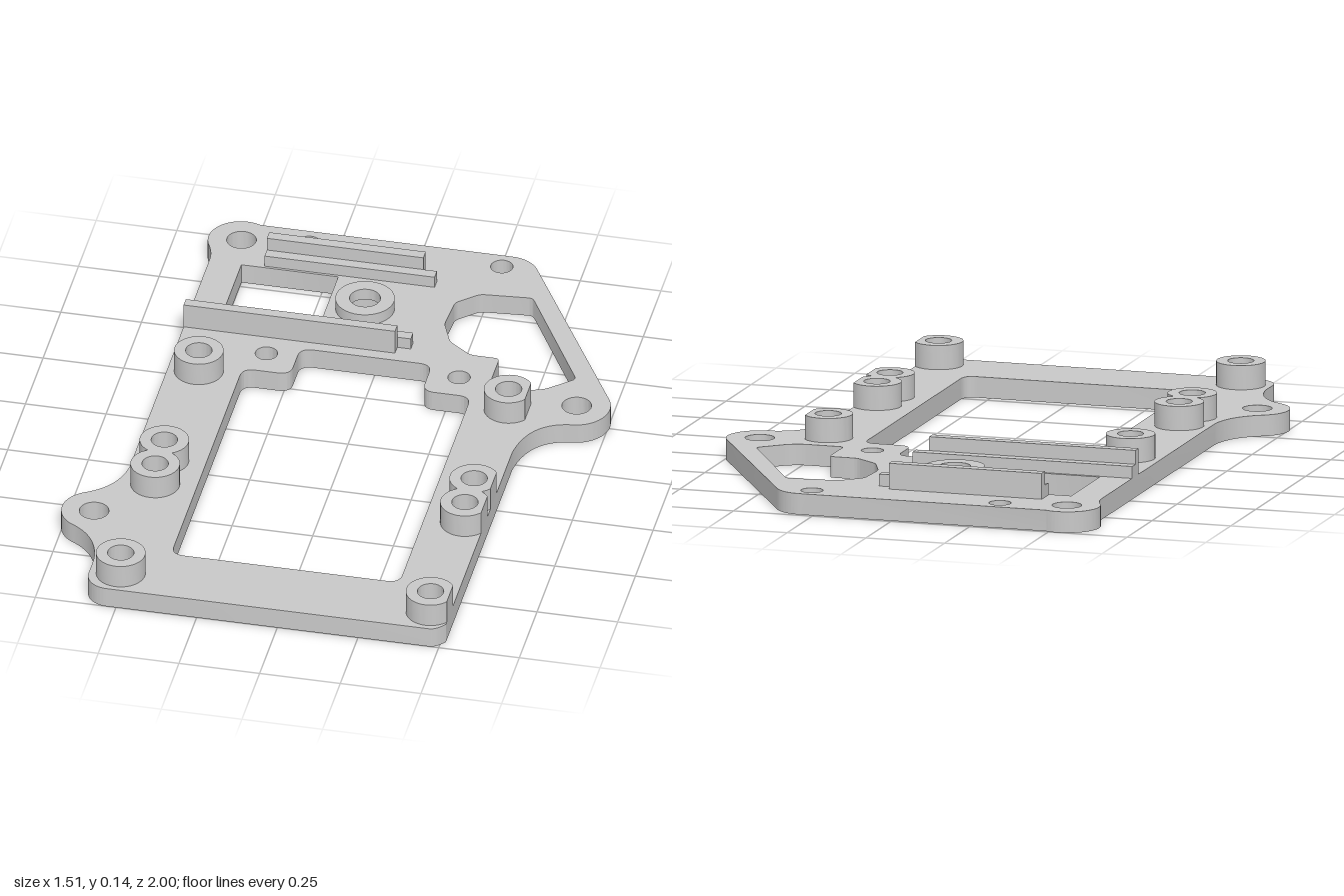
import * as THREE from 'three';
import { toCreasedNormals } from 'three/addons/utils/BufferGeometryUtils.js';

const PLATE = 0.065, PI = Math.PI;
const RIGHT_EDGE = 0.515;

// Shapes are drawn in (x, z); extrusion runs from y0 up to y1.
function slab(shape, y0, y1) {
  const geo = new THREE.ExtrudeGeometry(shape, { depth: y1 - y0, bevelEnabled: false, curveSegments: 20 });
  geo.rotateX(PI / 2);
  geo.translate(0, y1, 0);
  return toCreasedNormals(geo, 0.5);
}

function circle(x, z, r) {
  return new THREE.Path().absarc(x, z, r, 0, PI * 2, false);
}

// Closed polygon with every corner rounded by r; list corners from +x towards +z
function rounded(points, r) {
  const path = new THREE.Path();
  const pts = points.map(p => new THREE.Vector2(...p));
  pts.forEach((p, i) => {
    const prev = pts[(i + pts.length - 1) % pts.length], next = pts[(i + 1) % pts.length];
    const a = prev.clone().sub(p).setLength(r).add(p);
    const b = next.clone().sub(p).setLength(r).add(p);
    if (i === 0) path.moveTo(a.x, a.y); else path.lineTo(a.x, a.y);
    path.quadraticCurveTo(p.x, p.y, b.x, b.y);
  });
  path.closePath();
  return path;
}

function plateOutline() {
  const s = new THREE.Shape();
  s.moveTo(-0.6, 0.93);
  s.absarc(-0.53, 0.93, 0.07, PI, PI / 2, true);
  s.lineTo(0.475, 1);
  s.quadraticCurveTo(0.495, 0.995, RIGHT_EDGE, 0.965);
  // right ear
  s.lineTo(RIGHT_EDGE, 0.03);
  s.quadraticCurveTo(0.53, -0.14, 0.663, -0.154);
  s.absarc(0.65, -0.258, 0.105, 1.45, -0.5, true);
  // slanted edge and back corner
  s.absarc(0.293, -0.89, 0.1, -0.5, -PI / 2, true);
  // back left ear
  s.absarc(-0.53, -0.9, 0.1, -1.15, -3.54, true);
  s.quadraticCurveTo(-0.6, -0.82, -0.6, -0.78);
  // left ear
  s.lineTo(-0.6, 0.35);
  s.quadraticCurveTo(-0.61, 0.46, -0.699, 0.51);
  s.absarc(-0.655, 0.6, 0.1, -2.03, -4.25, true);
  s.quadraticCurveTo(-0.61, 0.74, -0.6, 0.86);
  s.closePath();
  return s;
}

export function createModel() {
  const group = new THREE.Group();
  group.name = 'mountingPlate';
  const grey = new THREE.MeshStandardMaterial({ color: 0xc8c8c8 });
  grey.name = 'grey';

  const add = (name, geo) => {
    const mesh = new THREE.Mesh(geo, grey);
    mesh.name = name;
    group.add(mesh);
  };

  // Standoffs: x, z, outer radius, hole radius, hole radius in the plate, top.
  // The central one has a wide recess underneath.
  const bosses = [[-0.085, -0.627, 0.09, 0.047, 0.084, 0.102]];
  for (const x of [-0.505, 0.455])
    for (const z of [-0.194, 0.293, 0.423, 0.909]) bosses.push([x, z, 0.075, 0.04, 0.04, 0.14]);

  // Base plate with its openings
  const base = plateOutline();
  base.holes.push(
    rounded([[-0.378, -0.233], [-0.23, -0.233], [-0.23, -0.375], [0.178, -0.375],
      [0.178, -0.233], [0.33, -0.233], [0.33, 0.778], [-0.378, 0.778]], 0.04),
    rounded([[-0.5, -0.772], [-0.2, -0.772], [-0.2, -0.487], [-0.5, -0.487]], 0.002),
    rounded([[0.24, -0.773], [0.4, -0.787], [0.62, -0.395], [0.54, -0.323], [0.5, -0.308],
      [0.37, -0.308], [0.37, -0.452], [0.28, -0.452], [0.205, -0.507], [0.168, -0.597], [0.175, -0.713]], 0.015)
  );
  for (const x of [-0.325, 0.272])
    for (const z of [-0.932, -0.328]) base.holes.push(circle(x, z, 0.034));
  for (const [x, z] of [[-0.528, -0.902], [0.652, -0.257], [-0.655, 0.602]]) base.holes.push(circle(x, z, 0.045));
  for (const [x, z, , , plateHole] of bosses) base.holes.push(circle(x, z, plateHole));
  add('basePlate', slab(base, 0, PLATE));

  // Standoffs, cut flat where they would pass the right edge
  for (const [x, z, r, hole, , top] of bosses) {
    const s = new THREE.Shape();
    const a = x + r > RIGHT_EDGE ? Math.acos((RIGHT_EDGE - x) / r) : 0;
    s.absarc(x, z, r, a, PI * 2 - a, false);
    s.closePath();
    s.holes.push(circle(x, z, hole));
    add('standoff', slab(s, PLATE, top));
  }

  // Stepped rails: x0, x1, z0, z1, top
  const rails = [
    ['backRailWall', -0.43, 0.055, -0.846, -0.813, 0.145],
    ['backRailLedge', -0.43, 0.097, -0.813, -0.78, 0.102],
    ['frontRailWall', -0.6, 0.055, -0.444, -0.412, 0.145],
    ['frontRailLedge', -0.6, 0.097, -0.477, -0.444, 0.102]
  ];
  for (const [name, x0, x1, z0, z1, top] of rails) {
    const box = new THREE.BoxGeometry(x1 - x0, top - PLATE, z1 - z0);
    box.translate((x0 + x1) / 2, (top + PLATE) / 2, (z0 + z1) / 2);
    add(name, box);
  }
  return group;
}
